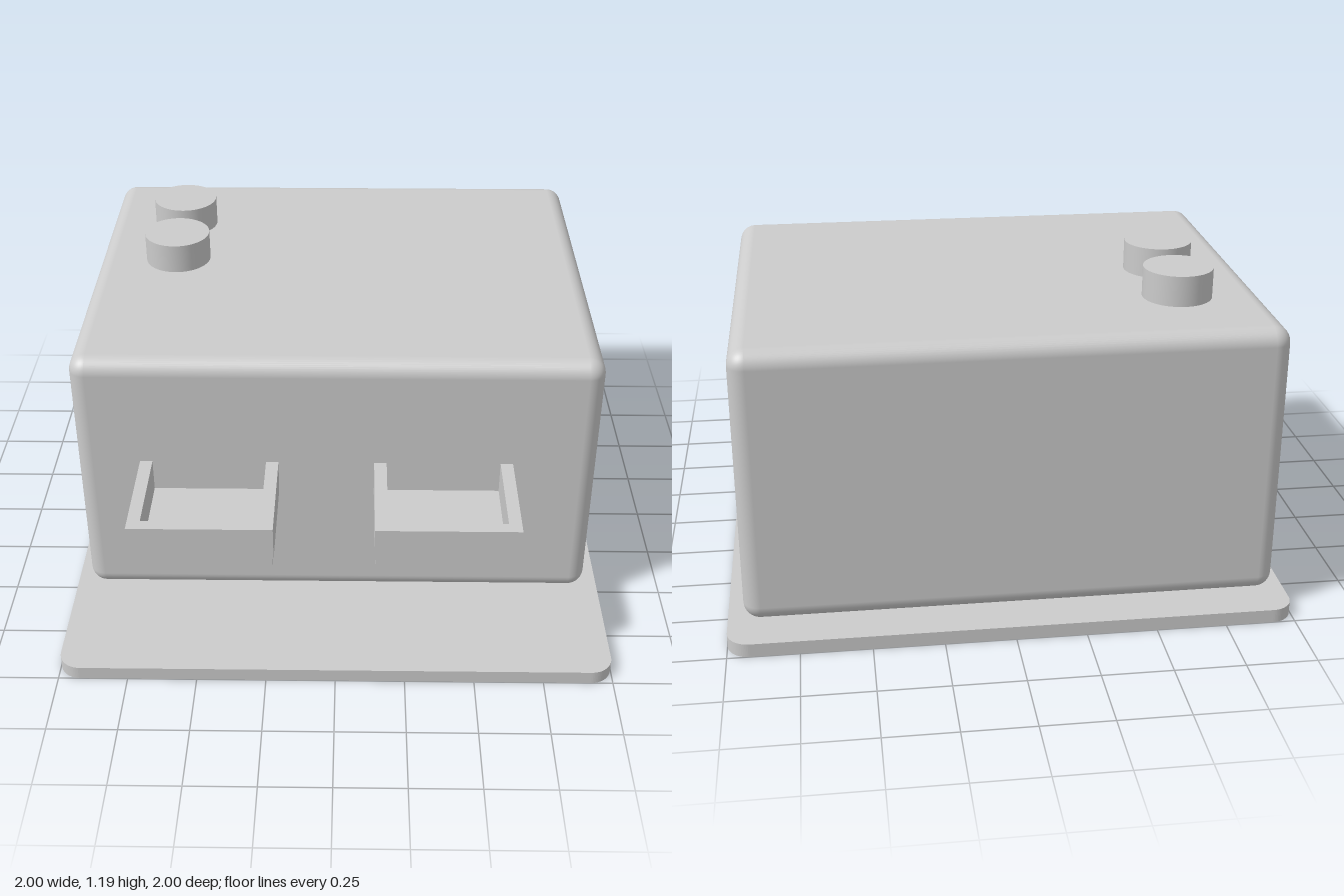
import * as THREE from 'three';
import { RoundedBoxGeometry } from 'three/addons/geometries/RoundedBoxGeometry.js';

const material = new THREE.MeshStandardMaterial({ color: 0xcccccc });

function add(parent, name, geometry, x, y, z) {
  const mesh = new THREE.Mesh(geometry, material);
  mesh.name = name;
  mesh.position.set(x, y, z);
  parent.add(mesh);
  return mesh;
}

// Flat outline in x/z (rounded square), extruded upward
function roundedPlate(half, radius, height) {
  const k = half - radius;
  const shape = new THREE.Shape();
  shape.absarc(k, k, radius, 0, Math.PI / 2);
  shape.absarc(-k, k, radius, Math.PI / 2, Math.PI);
  shape.absarc(-k, -k, radius, Math.PI, Math.PI * 1.5);
  shape.absarc(k, -k, radius, Math.PI * 1.5, Math.PI * 2);
  return new THREE.ExtrudeGeometry(shape, { depth: height, bevelEnabled: false, curveSegments: 10 })
    .rotateX(-Math.PI / 2);
}

// U-shaped rim on a thin floor, its open end against the body
function createTray(name, x) {
  const tray = new THREE.Group();
  tray.name = name;
  tray.position.set(x, 0, 0.575);
  const w = 0.25, t = 0.045, d = 0.4;
  const rim = new THREE.Shape([
    [-w, 0], [-w, -d], [w, -d], [w, 0],
    [w - t, 0], [w - t, t - d], [t - w, t - d], [t - w, 0],
  ].map(([px, py]) => new THREE.Vector2(px, py)));
  const rimGeometry = new THREE.ExtrudeGeometry(rim, { depth: 0.125, bevelEnabled: false })
    .rotateX(-Math.PI / 2);
  add(tray, 'trayRim', rimGeometry, 0, 0.54, 0);
  add(tray, 'trayFloor', new THREE.BoxGeometry(0.49, 0.045, 0.395), 0, 0.5225, 0.1975);
  return tray;
}

export function createModel() {
  const model = new THREE.Group();
  model.name = 'machine';

  // Base plate and the body hovering just above it
  add(model, 'basePlate', roundedPlate(1, 0.08, 0.05), 0, 0, 0);
  add(model, 'body', new RoundedBoxGeometry(1.88, 1, 1.5, 5, 0.06), 0, 0.58, -0.17);

  // Two round knobs on top
  for (const z of [-0.53, -0.215]) {
    add(model, 'topKnob', new THREE.CylinderGeometry(0.124, 0.124, 0.13, 48), -0.63, 1.125, z);
  }

  // Two trays on the front
  model.add(createTray('rightTray', -0.46), createTray('leftTray', 0.385));
  return model;
}
